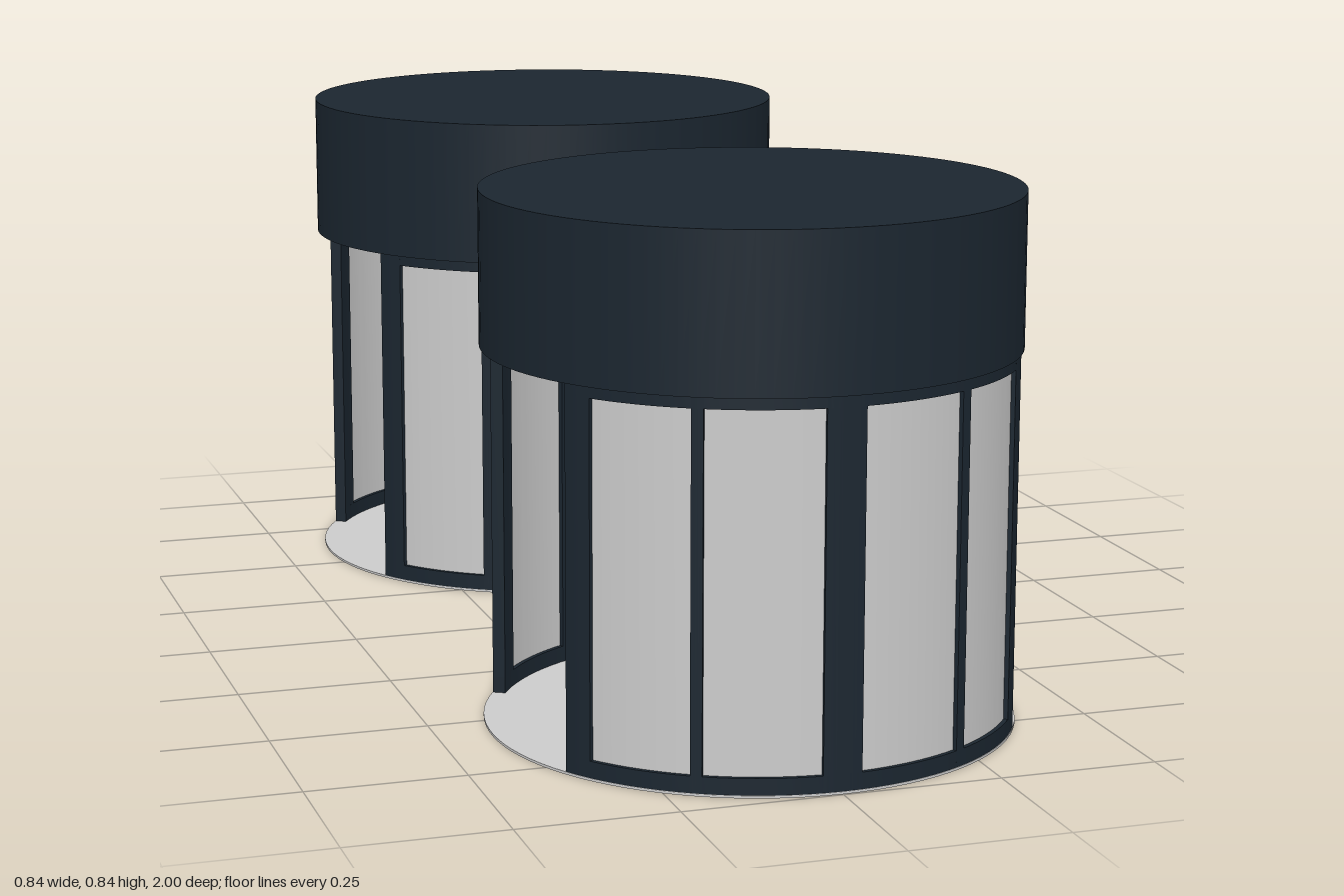
import * as THREE from 'three';
import { toCreasedNormals } from 'three/addons/utils/BufferGeometryUtils.js';

const R = 0.419, OFFSET = 0.581;
const WALL_R = 0.416, WALL_IN = 0.396, WALL_TOP = 0.595;
const rad = THREE.MathUtils.degToRad;

const dark = new THREE.MeshStandardMaterial({ color: 0x1b2630 });
const grey = new THREE.MeshStandardMaterial({ color: 0xcccccc });

function add(parent, name, geometry, material, x = 0, y = 0, z = 0) {
  const mesh = new THREE.Mesh(geometry, material);
  mesh.name = name;
  mesh.position.set(x, y, z);
  parent.add(mesh);
  return mesh;
}

// Curved slab between two angles (degrees, 90 = front) and two heights
function arcSlab(inner, outer, a0, a1, y0, y1) {
  const s = new THREE.Shape();
  s.absarc(0, 0, outer, rad(a0), rad(a1), false);
  s.absarc(0, 0, inner, rad(a1), rad(a0), true);
  const steps = Math.max(2, Math.ceil((a1 - a0) / 3));
  const g = new THREE.ExtrudeGeometry(s, { depth: y1 - y0, bevelEnabled: false, curveSegments: steps });
  g.rotateX(-Math.PI / 2);
  g.rotateY(Math.PI);
  g.translate(0, y0, 0);
  return toCreasedNormals(g, 0.5);
}

// One 120 degree curved wall with rails, posts and panels
function curvedWall() {
  const wall = new THREE.Group();
  wall.name = 'curvedWall';
  add(wall, 'bottomRail', arcSlab(WALL_IN, WALL_R, 30, 150, 0.002, 0.03), dark);
  add(wall, 'topRail', arcSlab(WALL_IN, WALL_R, 30, 150, 0.578, WALL_TOP), dark);
  add(wall, 'curvedPanel', arcSlab(0.403, 0.409, 31, 149, 0.03, 0.578), grey);
  const posts = [[33.2, 3.2], [60, 1.25], [90, 4.2], [120, 1.25], [146.8, 3.2]];
  for (const [a, half] of posts) {
    add(wall, 'post', arcSlab(WALL_IN, WALL_R, a - half, a + half, 0.002, WALL_TOP), dark);
  }
  return wall;
}

// Flat door leaf spanning the drum along z, with a central shaft
function doorLeaves() {
  const door = new THREE.Group();
  door.name = 'doorLeaves';
  add(door, 'shaft', new THREE.CylinderGeometry(0.014, 0.014, 0.59, 20), dark, 0, 0.297, 0);
  for (const s of [-1, 1]) {
    const mid = s * 0.2;
    add(door, 'doorPanel', new THREE.BoxGeometry(0.006, 0.55, 0.38), grey, 0, 0.304, mid);
    add(door, 'doorBottomRail', new THREE.BoxGeometry(0.02, 0.026, 0.39), dark, 0, 0.018, mid);
    add(door, 'doorTopRail', new THREE.BoxGeometry(0.02, 0.017, 0.39), dark, 0, 0.586, mid);
    add(door, 'doorStile', new THREE.BoxGeometry(0.02, 0.585, 0.02), dark, 0, 0.2975, s * 0.386);
  }
  return door;
}

// Complete drum: floor, canopy, two walls and the door leaves
function revolvingDoor() {
  const unit = new THREE.Group();
  unit.name = 'revolvingDoor';
  add(unit, 'floor', new THREE.CylinderGeometry(0.417, 0.417, 0.004, 96), grey, 0, 0.002, 0);
  add(unit, 'canopy', new THREE.CylinderGeometry(R, R, 0.243, 96), dark, 0, 0.7165, 0);
  for (const turn of [0, Math.PI]) {
    const wall = curvedWall();
    wall.rotation.y = turn;
    unit.add(wall);
  }
  unit.add(doorLeaves());
  return unit;
}

export function createModel() {
  const model = new THREE.Group();
  model.name = 'revolvingDoors';
  for (const s of [-1, 1]) {
    const unit = revolvingDoor();
    unit.position.z = s * OFFSET;
    model.add(unit);
  }
  return model;
}
